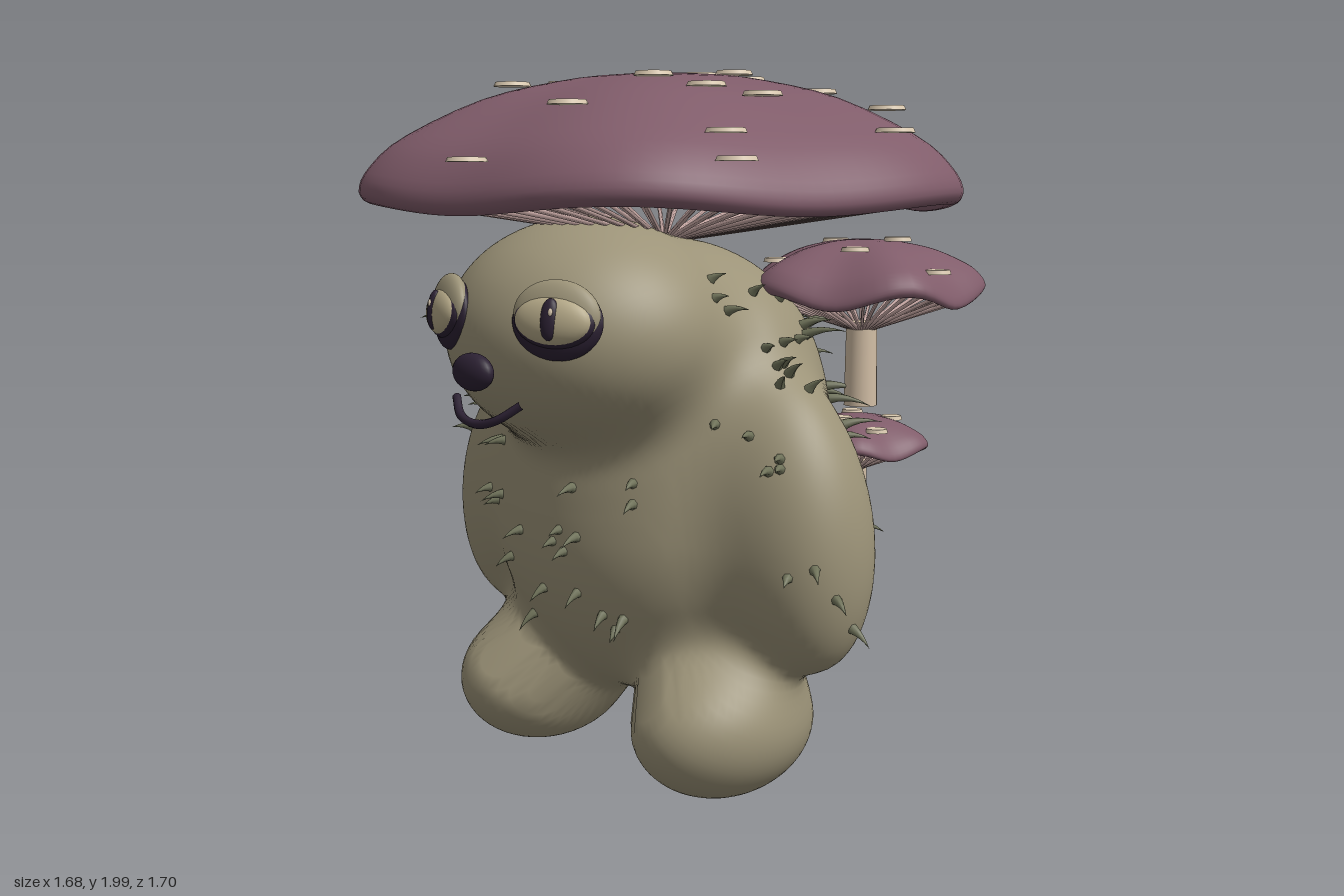
import * as THREE from 'three';
import { mergeGeometries, mergeVertices } from 'three/addons/utils/BufferGeometryUtils.js';

const V = (x, y, z) => new THREE.Vector3(x, y, z);
const mat = (name, color, side = THREE.FrontSide) =>
  Object.assign(new THREE.MeshStandardMaterial({ color, side }), { name });

const skin = mat('moss skin', 0x9c9378);
const purple = mat('cap purple', 0x805c6a, THREE.DoubleSide);
const pink = mat('gill pink', 0xc9aaa6);
const cream = mat('spot cream', 0xdac9b0);
const stemTan = mat('stem tan', 0xd2bea5);
const olive = mat('spike olive', 0x70735a);
const dark = mat('dark plum', 0x2c2133);
const eyeTone = mat('eye khaki', 0xb5a988);

let seed = 7;
const rand = () => (seed = (seed * 16807) % 2147483647) / 2147483647;

function mesh(name, geometry, material, parent) {
  const m = new THREE.Mesh(geometry, material);
  m.name = name;
  parent.add(m);
  return m;
}

// ---- Body: ellipsoids melted into one soft surface: [centre, radii, lean, blend]
const blobs = [
  [V(0, 0.72, 0), V(0.55, 0.52, 0.43), 0, 0.17],
  [V(0, 1.09, -0.01), V(0.5, 0.44, 0.38), 0, 0.17],
  [V(0, 1.275, 0.3), V(0.42, 0.32, 0.375), 0, 0.09],
];
for (const s of [1, -1]) {
  blobs.push([V(0.56 * s, 0.755, 0.05), V(0.195, 0.375, 0.19), 0.1 * s, 0.16]);
  blobs.push([V(0.36 * s, 0.21, 0.14), V(0.22, 0.205, 0.29), 0, 0.14]);
}
function distance(p) {
  let d = 9;
  for (const [c, r, lean, blend] of blobs) {
    const y = p.y - c.y, x = p.x - c.x + lean * y, z = p.z - c.z;
    const k0 = Math.hypot(x / r.x, y / r.y, z / r.z);
    const k1 = Math.hypot(x / r.x ** 2, y / r.y ** 2, z / r.z ** 2) + 1e-6;
    const e = k0 * (k0 - 1) / k1;
    const h = Math.max(blend - Math.abs(d - e), 0) / blend;
    d = Math.min(d, e) - h * h * blend / 4;
  }
  return d;
}
// Rays start on a short upright spine so that chin and legs are met squarely
function surfacePoint(dir) {
  const p = V(0, 0, 0), start = V(0, 0.72 + 0.32 * dir.y, 0);
  let t = 1.4;
  for (let i = 0; i < 120; i++) {
    const d = distance(p.copy(dir).multiplyScalar(t).add(start));
    if (Math.abs(d) < 0.0005) break;
    t -= d * 0.7;
  }
  return p;
}
function surfaceNormal(p) {
  const e = 0.004, f = (x, y, z) => distance(V(p.x + x, p.y + y, p.z + z));
  return V(f(e, 0, 0) - f(-e, 0, 0), f(0, e, 0) - f(0, -e, 0), f(0, 0, e) - f(0, 0, -e)).normalize();
}
function weld(geometry) {
  geometry.deleteAttribute('uv');
  geometry.deleteAttribute('normal');
  const g = mergeVertices(geometry, 1e-4);
  g.computeVertexNormals();
  return g;
}
function bodyGeometry() {
  const g = weld(new THREE.IcosahedronGeometry(1, 42));
  const pos = g.attributes.position, v = V(0, 0, 0);
  for (let i = 0; i < pos.count; i++) {
    const p = surfacePoint(v.fromBufferAttribute(pos, i).normalize());
    pos.setXYZ(i, p.x, p.y, p.z);
  }
  g.computeVertexNormals();
  return g;
}

// ---- Curved thorns scattered over the hide, drooping at the tips
function spikesGeometry() {
  const parts = [];
  while (parts.length < 160) {
    const y = rand() * 2 - 0.6, a = rand() * Math.PI * 2;
    const p = surfacePoint(V(Math.sin(a), y, Math.cos(a)).normalize());
    const onFace = p.z > 0.25 && p.y > 0.97 && rand() > 0.04;
    if (p.y < 0.45 || p.y > 1.53 || onFace) continue;
    const len = (p.z < -0.05 ? 0.11 : 0.065) * (0.75 + 0.5 * rand());
    const g = new THREE.ConeGeometry(0.017, len, 7, 4).translate(0, len / 2 - 0.008, 0);
    const pos = g.attributes.position;
    for (let i = 0; i < pos.count; i++) pos.setZ(i, pos.getZ(i) + 0.4 * pos.getY(i) ** 2 / len);
    g.computeVertexNormals();
    const n = surfaceNormal(p);
    const down = V(0.01, -1, 0).addScaledVector(n, n.y).normalize();
    down.addScaledVector(n, -down.dot(n)).normalize();
    const m = new THREE.Matrix4().makeBasis(V(0, 0, 0).crossVectors(n, down), n, down).setPosition(p);
    parts.push(g.applyMatrix4(m));
  }
  return mergeGeometries(parts);
}

// ---- Mushroom cap with five lobes, radial gills, flat spots and optional stem
function mushroom(name, o, parent) {
  const group = new THREE.Group();
  group.name = name;
  group.position.set(o.x, o.rim, o.z);
  parent.add(group);
  const lobe = (a) => Math.cos(5 * (a - o.turn));
  const radius = (a) => o.r * (1 + o.lobe * lobe(a));
  const lift = (a, k) => o.wave * lobe(a) * k ** 3;

  const inner = [[0, 0.8], [0.3, 0.77], [0.6, 0.6], [0.8, 0.36], [0.93, 0.06]];
  const outer = [[0.965, -0.03], [1, 0.05], [0.972, 0.22], [0.86, 0.47], [0.6, 0.78], [0.34, 0.935], [0.15, 0.988], [0, 1]];
  const curve = new THREE.SplineCurve([...inner, ...outer].map(([x, y]) => new THREE.Vector2(x, y)));
  const points = curve.getPoints(40);
  points.forEach((p) => { p.x = Math.max(p.x, 0); });
  points[0].x = points[40].x = 0;
  const g = weld(new THREE.LatheGeometry(points, o.sides));
  const pos = g.attributes.position;
  for (let i = 0; i < pos.count; i++) {
    const x = pos.getX(i), z = pos.getZ(i), k = Math.hypot(x, z), a = Math.atan2(x, z);
    pos.setXYZ(i, x * radius(a), pos.getY(i) * o.h + lift(a, k), z * radius(a));
  }
  g.computeVertexNormals();
  mesh('cap', g, purple, group);

  const gills = [];
  for (let i = 0; i < o.gills; i++) {
    const a = i / o.gills * Math.PI * 2, R = radius(a) * 0.94;
    const from = V(Math.sin(a) * o.r * 0.06, -o.drop, Math.cos(a) * o.r * 0.06);
    const to = V(Math.sin(a) * R, lift(a, 0.94) + 0.01, Math.cos(a) * R);
    const along = to.clone().sub(from);
    const q = new THREE.Quaternion().setFromUnitVectors(V(0, 1, 0), along.clone().normalize());
    const mid = from.clone().add(to).multiplyScalar(0.5);
    gills.push(new THREE.CylinderGeometry(o.gill, o.gill, along.length(), 5)
      .applyQuaternion(q).translate(mid.x, mid.y, mid.z));
  }
  mesh('gills', mergeGeometries(gills), pink, group);

  // Spots rest on the dome, or hang level just off its rim
  const disc = new THREE.CylinderGeometry(o.spot * 0.9, o.spot, 0.012, 18);
  for (const [x, z] of o.spots) {
    const d = Math.hypot(x, z), a = Math.atan2(x, z), k = d / radius(a);
    const onDome = points.slice(20).find((p) => p.x <= k && p.y > 0.1) ?? points[40];
    const y = Math.max(onDome.y * o.h + lift(a, k), o.h * (1 - 0.75 * (d / o.r) ** 2));
    mesh('spot', disc, cream, group).position.set(x, y + 0.005, z);
  }
  if (o.stem) {
    const top = o.rim - o.drop + 0.025, len = top - o.stem[0];
    const s = mesh('stem', new THREE.CylinderGeometry(o.stem[1] * 0.92, o.stem[1], len, 16), stemTan, group);
    s.position.y = top - o.rim - len / 2;
  }
}

// ---- Face: eyes, nose and smile
function buildFace(parent) {
  const ball = new THREE.SphereGeometry(1, 28, 18);
  const part = (name, m, p, s, to) => {
    const b = mesh(name, ball, m, to);
    b.position.set(...p);
    b.scale.set(...s);
  };
  for (const s of [1, -1]) {
    const eye = new THREE.Group();
    eye.name = s > 0 ? 'leftEye' : 'rightEye';
    eye.position.set(0.21 * s, 1.34, 0.61);
    eye.rotation.set(-0.12, 0.4 * s, 0);
    parent.add(eye);
    part('eyeRim', dark, [0, -0.004, 0], [0.127, 0.1, 0.035], eye);
    part('eyelid', skin, [0, 0.012, 0.008], [0.121, 0.091, 0.038], eye);
    part('lashLine', dark, [0, -0.004, 0.02], [0.112, 0.07, 0.034], eye);
    part('eyeball', eyeTone, [0, -0.003, 0.026], [0.106, 0.064, 0.037], eye);
    part('pupil', dark, [0, 0, 0.05], [0.026, 0.054, 0.019], eye);
    part('eyeGlint', cream, [0.008, 0.018, 0.067], [0.006, 0.01, 0.004], eye);
  }
  part('nose', dark, [0, 1.2, 0.715], [0.073, 0.05, 0.035], parent);
  const smile = new THREE.CatmullRomCurve3([
    V(-0.13, 1.12, 0.665), V(-0.07, 1.078, 0.7), V(0, 1.063, 0.708), V(0.07, 1.078, 0.7), V(0.13, 1.12, 0.665)]);
  mesh('mouth', new THREE.TubeGeometry(smile, 24, 0.012, 8), dark, parent);
}

export function createModel() {
  const model = new THREE.Group();
  model.name = 'mushroomCreature';
  mesh('body', bodyGeometry(), skin, model);
  mesh('spikes', spikesGeometry(), olive, model);
  buildFace(model);

  // Great cap on the head
  mushroom('headMushroom', {
    x: 0, z: 0, rim: 1.625, r: 0.825, h: 0.365, drop: 0.1, lobe: 0.04, wave: 0.015, turn: Math.PI,
    sides: 100, gills: 72, gill: 0.007, spot: 0.053,
    spots: [[0.01, -0.14], [0.13, -0.21], [0.22, -0.05], [0.11, -0.42], [0.35, -0.26], [0.44, -0.51],
      [0.26, -0.65], [-0.15, -0.7], [-0.05, -0.7], [0.55, -0.31], [0.73, -0.1], [-0.61, -0.3], [-0.27, 0.13],
      [-0.26, 0.34], [0.22, 0.27], [0.38, 0.24], [0.51, 0.17], [0.59, 0.4], [0.66, 0.44], [0.2, 0.56], [0.08, 0.79]],
  }, model);

  // Four smaller mushrooms on the back: x, z, rim height, radius, stem foot, stem radius, turn
  const small = [
    [0.44, -0.36, 1.365, 0.33, 1.05, 0.048, 1.01],
    [-0.5, -0.32, 1.345, 0.3, 1.04, 0.045, 0.68],
    [0.3, -0.53, 0.89, 0.21, 0.59, 0.036, Math.PI],
    [-0.27, -0.49, 0.975, 0.23, 0.67, 0.036, 0.3],
  ];
  small.forEach(([x, z, rim, r, foot, stemR, turn], n) => {
    const spots = [];
    for (let i = 0; i < 6; i++) {
      const a = i * 2.4 + n + 2, k = r * (0.3 + 0.11 * i);
      spots.push([Math.sin(a) * k, Math.cos(a) * k]);
    }
    mushroom('backMushroom' + (n + 1), {
      x, z, rim, r, h: r * 0.49, drop: r * 0.3, lobe: 0.05, wave: r * 0.07, turn,
      sides: 60, gills: 48, gill: 0.005, spot: r < 0.25 ? 0.033 : 0.04, spots, stem: [foot, stemR],
    }, model);
  });
  return model;
}
